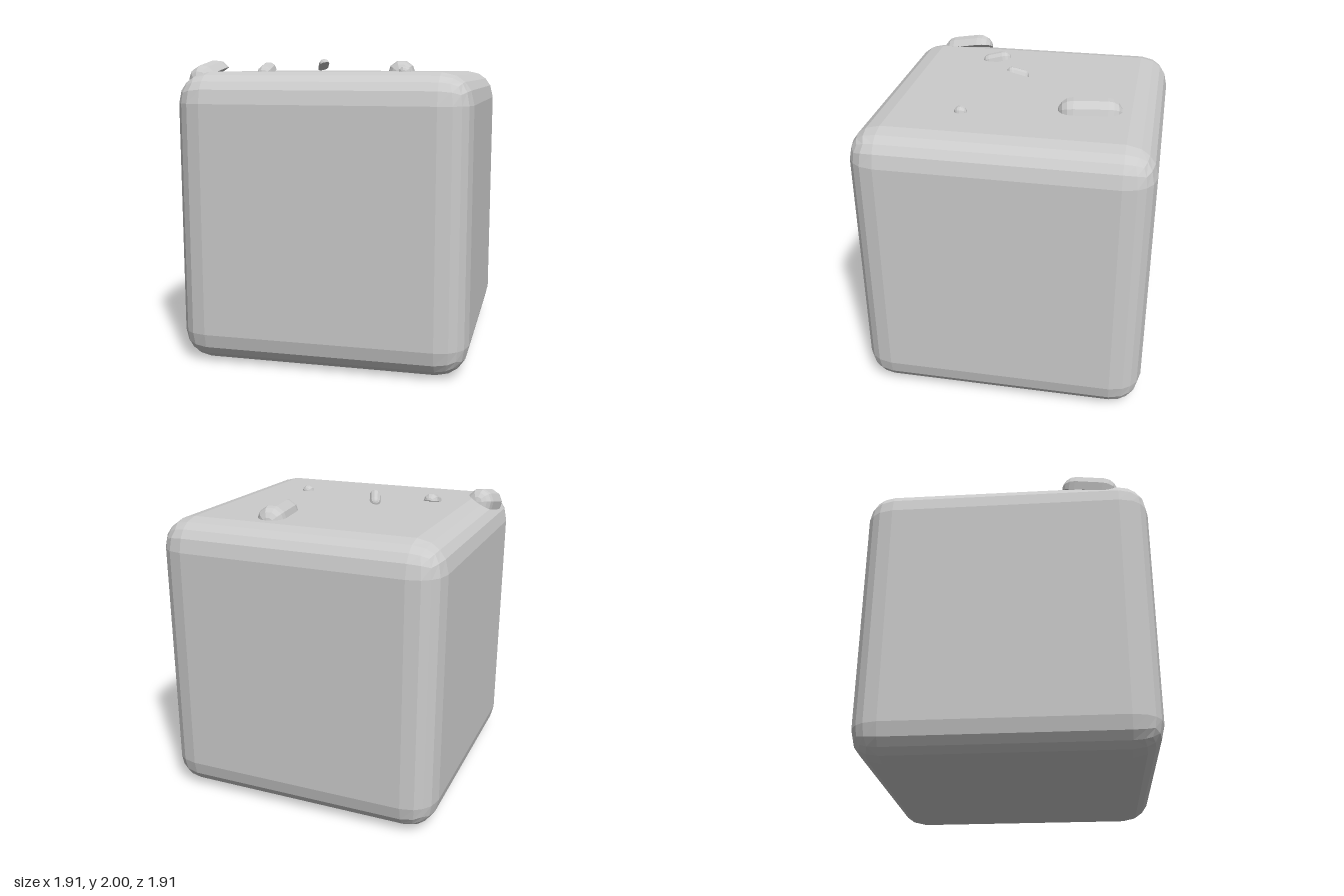
import * as THREE from 'three';
import { RoundedBoxGeometry } from 'three/addons/geometries/RoundedBoxGeometry.js';

const material = new THREE.MeshStandardMaterial({ color: 0xcccccc, flatShading: true });

// Half capsule lying along z: rounded on top, flat underneath
function halfCapsule(radius, length) {
  const geometry = new THREE.CapsuleGeometry(radius, Math.max(length - 2 * radius, 0), 4, 10);
  geometry.rotateX(Math.PI / 2);
  const p = geometry.attributes.position;
  for (let i = 0; i < p.count; i++) p.setY(i, Math.max(p.getY(i), 0));
  geometry.computeVertexNormals();
  return geometry;
}

export function createModel() {
  const group = new THREE.Group();

  // Block with rounded edges
  const block = new THREE.Mesh(new RoundedBoxGeometry(1.91, 1.91, 1.91, 2, 0.2), material);
  block.name = 'block';
  block.position.y = 0.955;
  group.add(block);

  // Pebbles strewn on the top: radius, length, base centre, pitch, yaw, roll
  const pebbles = [
    { name: 'edgePebble', r: 0.096, l: 0.38, at: [-0.83, 1.875, 0.57], turn: [0.18, -0.08, 0.5] },
    { name: 'sunkenPebble', r: 0.054, l: 0.21, at: [-0.53, 1.908, 0.285], turn: [0.25, 0.05, 0] },
    { name: 'tiltedPebble', r: 0.037, l: 0.16, at: [-0.18, 1.945, 0.065], turn: [-0.35, 0.36, 0.2] },
    { name: 'largePebble', r: 0.1, l: 0.42, at: [0.285, 1.89, -0.49], turn: [0, 0.13, 0] },
    { name: 'roundPebble', r: 0.042, l: 0.084, at: [0.45, 1.905, 0.32], turn: [0, 0, 0] },
  ];
  for (const { name, r, l, at, turn } of pebbles) {
    const pebble = new THREE.Mesh(halfCapsule(r, l), material);
    pebble.name = name;
    pebble.position.set(...at);
    pebble.rotation.set(...turn, 'YXZ');
    group.add(pebble);
  }

  return group;
}
